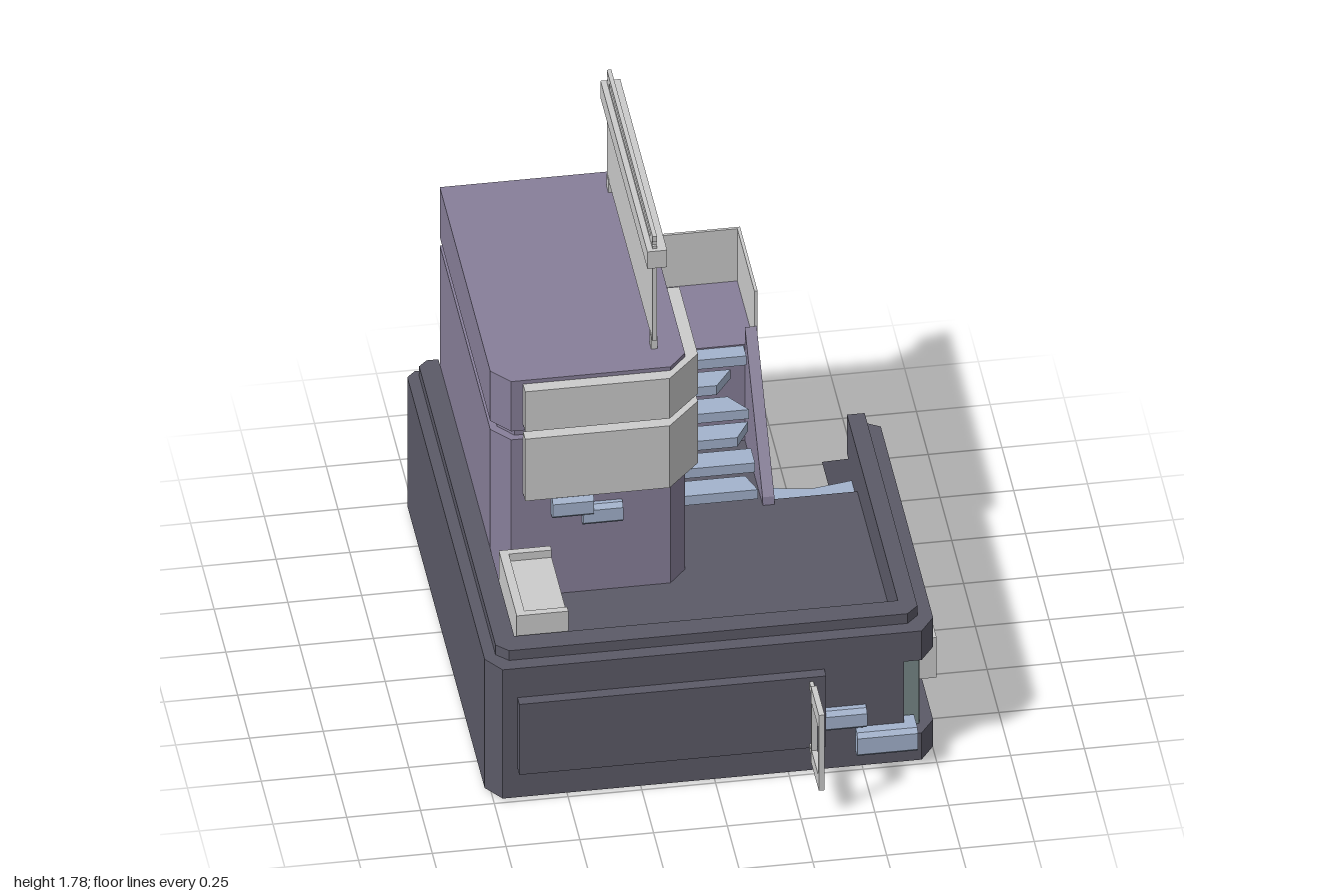
import * as THREE from 'three';

const mat = (color) => new THREE.MeshStandardMaterial({ color, flatShading: true, side: THREE.DoubleSide });
const GREY = mat(0xcccccc), DARK = mat(0x5b5a67), PURPLE = mat(0x877f99);
const BLUE = mat(0xa3b3cd), GREEN = mat(0x778787), PALE = mat(0xd0d8ec);

export function createModel() {
  const model = new THREE.Group();

  const add = (name, geometry, material) => {
    const mesh = new THREE.Mesh(geometry, material);
    mesh.name = name;
    model.add(mesh);
    return mesh;
  };
  // Box from its limits on each axis
  const box = (name, material, [x0, x1], [y0, y1], [z0, z1]) => {
    const g = new THREE.BoxGeometry(x1 - x0, y1 - y0, z1 - z0);
    g.translate((x0 + x1) / 2, (y0 + y1) / 2, (z0 + z1) / 2);
    return add(name, g, material);
  };
  // Plan outline of [x, z] points raised from y0 to y1
  const plan = (name, material, pts, y0, y1) => {
    const shape = new THREE.Shape(pts.map(([x, z]) => new THREE.Vector2(x, -z)));
    const g = new THREE.ExtrudeGeometry(shape, { depth: y1 - y0, bevelEnabled: false });
    g.rotateX(-Math.PI / 2).translate(0, y0, 0);
    return add(name, g, material);
  };
  // Side outline of [z, y] points extended from x0 to x1
  const side = (name, material, pts, x0, x1) => {
    const shape = new THREE.Shape(pts.map(([z, y]) => new THREE.Vector2(-z, y)));
    const g = new THREE.ExtrudeGeometry(shape, { depth: x1 - x0, bevelEnabled: false });
    g.rotateY(Math.PI / 2).translate(x0, 0, 0);
    return add(name, g, material);
  };
  // Small block with chamfered long edges; runs along x, or along z when turned
  const block = (name, [a0, a1], [y0, y1], [d0, d1], turned) => {
    const c = 0.015;
    const prof = [[d0, y0], [d1 - c, y0], [d1, y0 + c], [d1, y1 - c], [d1 - c, y1], [d0, y1]];
    if (!turned) return side(name, BLUE, prof, a0, a1);
    const shape = new THREE.Shape(prof.map(([d, y]) => new THREE.Vector2(d, y)));
    const g = new THREE.ExtrudeGeometry(shape, { depth: a1 - a0, bevelEnabled: false });
    return add(name, g.translate(0, 0, a0), BLUE);
  };

  // Base body with the deck on top and a notch for the outer stairs
  plan('baseBody', DARK, [[-0.77, -0.97], [-0.74, -1], [0.36, -1], [0.36, -0.25], [0.64, -0.25],
    [0.64, 0.74], [-0.72, 0.74], [-0.77, 0.67]], 0.01, 0.42);

  // Stepped parapet around the deck
  plan('parapet', DARK, [[-0.77, -0.97], [-0.74, -1], [-0.66, -1], [-0.66, 0.61], [0.64, 0.61], [0.64, -0.47],
    [0.70, -0.47], [0.75, -0.44], [0.75, 0.67], [0.70, 0.74], [-0.72, 0.74], [-0.77, 0.67]], 0.42, 0.54);
  plan('parapetCap', DARK, [[-0.73, -0.97], [-0.70, -1], [-0.66, -1], [-0.66, 0.61], [0.64, 0.61], [0.64, -0.47],
    [0.70, -0.47], [0.70, 0.65], [0.66, 0.69], [-0.69, 0.69], [-0.73, 0.65]], 0.54, 0.58);

  // Side wall that slopes down along the outer stairs, with its recessed panel
  const slope = [[0.68, 0.01], [0.68, 0.42], [-0.44, 0.42], [-1, 0.01]];
  side('sideWall', DARK, slope, 0.64, 0.70);
  side('sidePanel', GREEN, slope, 0.70, 0.703);
  box('cornerPanel', GREEN, [0.64, 0.70], [0.12, 0.42], [0.68, 0.685]);
  box('darkSidePanel', DARK, [0.70, 0.71], [0.12, 0.42], [0.25, 0.62]);
  side('sideTrim', DARK, [[0.25, 0.33], [0.21, 0.33], [0.16, 0.38], [0.02, 0.395], [0, 0.42], [0.25, 0.42]], 0.70, 0.71);
  side('sideSkirt', DARK, [[0.67, 0.01], [0.67, 0.12], [-0.63, 0.12], [-0.80, 0.01]], 0.70, 0.75);
  plan('cornerSkirt', DARK, [[0.64, 0.67], [0.75, 0.67], [0.70, 0.74], [0.64, 0.74]], 0.01, 0.12);
  box('sideLocker', GREY, [0.70, 0.77], [0.255, 0.42], [0.24, 0.62]);

  // Raised front panel and the square handle frame
  box('frontPanel', DARK, [-0.67, 0.37], [0.13, 0.42], [0.74, 0.78]);
  for (const [y0, y1] of [[0.11, 0.165], [0.36, 0.42]]) {
    box('handleBar', GREY, [0.31, 0.33], [y0, y1], [0.83, 1]);
    box('handleArm', GREY, [0.313, 0.327], [y0 + 0.015, y1 - 0.018], [0.78, 0.83]);
  }
  for (const z of [0.83, 0.985]) box('handlePost', GREY, [0.31, 0.33], [0.11, 0.42], [z, z + 0.015]);

  // Pairs of small wall blocks
  block('frontBlock', [0.37, 0.51], [0.18, 0.26], [0.73, 0.775]);
  block('frontBlock', [0.475, 0.68], [0.075, 0.17], [0.70, 0.79]);
  block('towerBlock', [-0.465, -0.325], [0.75, 0.83], [0.17, 0.21]);
  block('towerBlock', [-0.36, -0.225], [0.705, 0.785], [0.17, 0.2]);
  block('sideBlock', [-0.25, -0.04], [0.175, 0.25], [0.70, 0.74], true);
  block('sideBlock', [-0.40, -0.19], [0.235, 0.32], [0.70, 0.745], true);

  // Tower: two storeys with a groove between them
  const tower = (i) => [[-0.66 + i, -0.97 + i], [-i, -0.97 + i], [-i, 0.10 - i * 0.6], [-0.06 - i * 0.6, 0.17 - i],
    [-0.60 + i * 0.6, 0.17 - i], [-0.66 + i, 0.10 - i * 0.6]];
  plan('towerLower', PURPLE, tower(0), 0.42, 1.07);
  plan('towerGroove', PURPLE, tower(0.025), 1.07, 1.105);
  plan('towerUpper', PURPLE, tower(0), 1.105, 1.31);

  // Window bands wrapping the front corner
  for (const [y0, y1] of [[0.845, 1.1], [1.13, 1.295]])
    plan('windowBand', GREY, [[-0.56, 0.17], [-0.56, 0.215], [-0.07, 0.215], [0.045, 0.09], [0.045, -0.30],
      [0, -0.30], [0, 0.10], [-0.06, 0.17]], y0, y1);

  // Landing with its guard panels and the door
  box('landing', PURPLE, [0, 0.355], [0.42, 0.815], [-0.97, -0.6]);
  box('landingGuardSide', GREY, [0.347, 0.358], [0.81, 1.03], [-0.973, -0.6]);
  box('landingGuardBack', GREY, [0, 0.35], [0.81, 1.03], [-0.973, -0.963]);
  const [d0, d1, dTop] = [-0.905, -0.65, 1.255];
  box('doorPanel', PALE, [0, 0.012], [0.82, dTop], [d0, d1]);
  box('doorFrameTop', PALE, [0, 0.025], [dTop - 0.03, dTop], [d0, d1]);
  for (const z of [d0, d1 - 0.025]) box('doorFrameSide', PALE, [0, 0.025], [0.82, dTop], [z, z + 0.025]);
  box('doorLeaf', PALE, [0.012, 0.017], [0.85, 1.205], [d0 + 0.04, d1 - 0.04]);

  // Worn upper stairs from the deck to the landing
  side('stairWall', PURPLE, [[-0.22, 0.42], [-0.225, 0.45], [-0.6, 0.885], [-0.6, 0.42]], 0.315, 0.355);
  const upperEnds = [[0.3, 0.27], [0.3, 0.3], [0.25, 0.3], [0.3, 0.24], [0.2, 0.26], [0.31, 0.31]];
  upperEnds.forEach(([a, b], i) => {
    const z0 = -0.23 - i * 0.062, z1 = z0 - 0.085, y = 0.48 + i * 0.066;
    plan('upperStep', BLUE, [[0, z0], [a, z0], [b, z1], [0, z1]], y - 0.038, y);
  });

  // Outer stairs from the deck to the ground
  const lowerStarts = [0.36, 0.36, 0.43, 0.36, 0.36, 0.36];
  lowerStarts.forEach((x0, i) => {
    const z0 = -0.27 - i * 0.09, z1 = z0 - (i === 5 ? 0.08 : 0.1), y = 0.38 - i * 0.07;
    plan('lowerStep', BLUE, [[x0, z0], [0.64, z0], [0.64, z1], [(x0 + 0.64) / 2, z1 + 0.025], [x0, z1]], y - 0.03, y);
  });

  // Bench on the deck: a seat with a raised back and ends
  box('benchSeat', GREY, [-0.65, -0.475], [0.42, 0.625], [0.22, 0.6]);
  box('benchBack', GREY, [-0.65, -0.62], [0.625, 0.655], [0.22, 0.6]);
  for (const z of [0.22, 0.575]) box('benchEnd', GREY, [-0.62, -0.475], [0.625, 0.655], [z, z + 0.025]);

  // Roof board on two legs
  box('roofBoard', GREY, [-0.105, -0.09], [1.35, 1.74], [-0.9, 0.07]);
  box('roofBoardBeam', GREY, [-0.125, -0.058], [1.66, 1.73], [-0.91, 0.085]);
  box('roofBoardRail', GREY, [-0.105, -0.09], [1.757, 1.78], [-0.9, 0.07]);
  for (const z of [-0.89, 0.02]) {
    box('roofBoardLeg', GREY, [-0.108, -0.087], [1.31, 1.36], [z, z + 0.04]);
    box('roofBoardPost', GREY, [-0.105, -0.09], [1.73, 1.76], [z, z + 0.04]);
  }
  return model;
}
